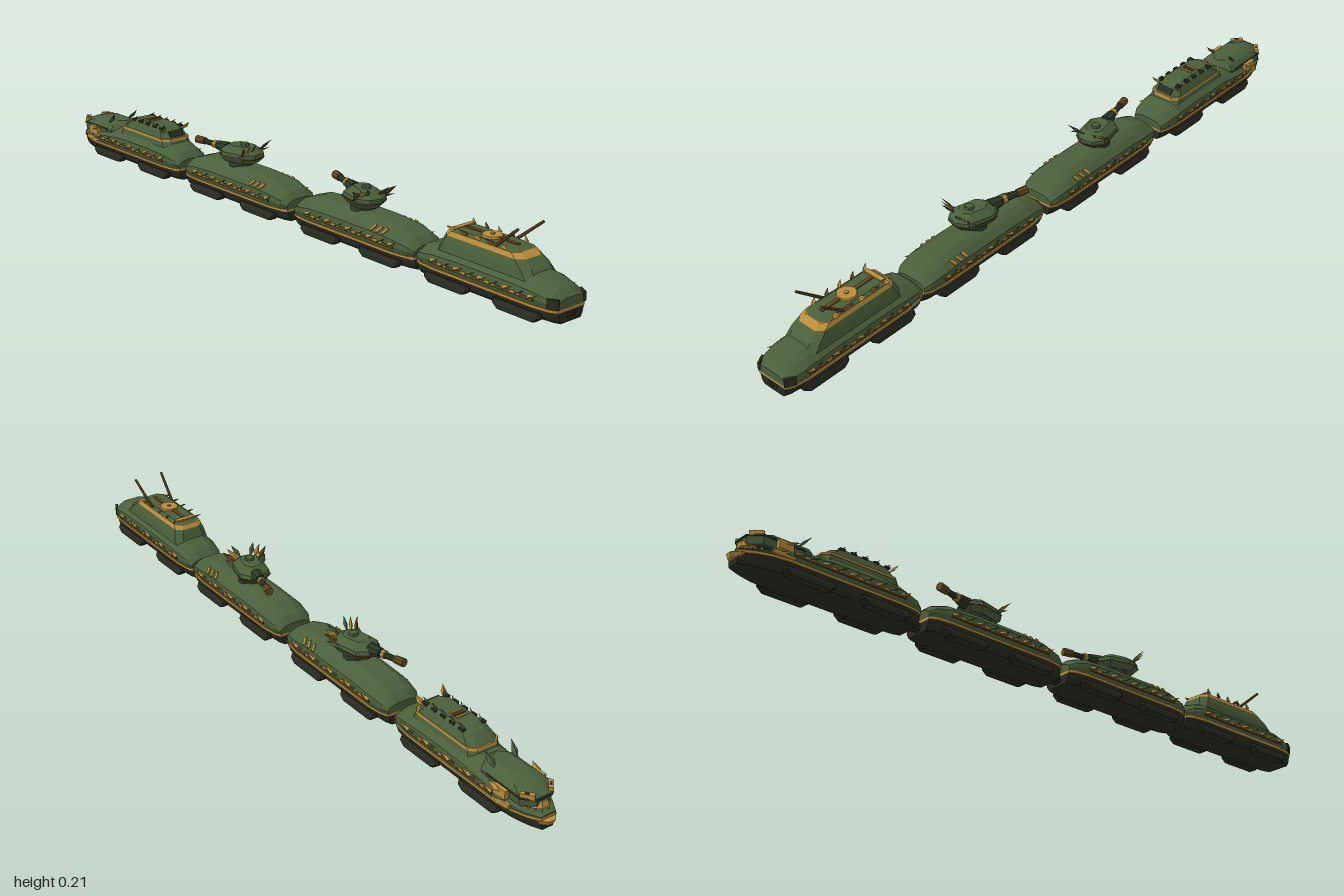
import * as THREE from 'three';

const paint = (name, color) => {
  const m = new THREE.MeshStandardMaterial({ color, flatShading: true });
  m.name = name;
  return m;
};

// skin between cross-sections; each ring runs counter-clockwise about the loft direction
function loft(rings) {
  const pos = [], n = rings[0].length, last = rings[rings.length - 1];
  const tri = (...p) => p.forEach(v => pos.push(...v));
  for (let i = 0; i < rings.length - 1; i++) {
    for (let j = 0; j < n; j++) {
      const k = (j + 1) % n, a = rings[i][j], b = rings[i][k], c = rings[i + 1][k], d = rings[i + 1][j];
      tri(a, b, c);
      tri(a, c, d);
    }
  }
  for (let j = 1; j < n - 1; j++) {
    tri(rings[0][0], rings[0][j + 1], rings[0][j]);
    tri(last[0], last[j], last[j + 1]);
  }
  const g = new THREE.BufferGeometry();
  g.setAttribute('position', new THREE.Float32BufferAttribute(pos, 3));
  g.computeVertexNormals();
  return g;
}

// chamfered rectangle in plan
const plan = (y, w, z0, z1, c = 0.018) => [
  [w - c, y, z1], [w, y, z1 - c], [w, y, z0 + c], [w - c, y, z0],
  [c - w, y, z0], [-w, y, z0 + c], [-w, y, z1 - c], [c - w, y, z1]];

// hull slice: half profile from bottom to top, stations are [z, width scale, top height]
function hullSlice(half, stations) {
  return loft(stations.map(([z, s, top]) => {
    const fit = y => y <= 0.041 ? Math.min(y, top) : 0.041 + (y - 0.041) * (top - 0.041) / 0.065;
    const right = half.map(([x, y]) => [x * s, fit(y), z]);
    return [...right, ...right.map(([x, y]) => [-x, y, z]).reverse()];
  }));
}

export function createModel() {
  const green = paint('armour green', 0x4a5f3b), dark = paint('dark green', 0x2c3826);
  const black = paint('undercarriage black', 0x282c21), gold = paint('trim gold', 0xb88c3c);
  const brown = paint('bronze brown', 0x66471f);
  const model = new THREE.Group();

  const add = (parent, name, geo, mat, x = 0, y = 0, z = 0) => {
    const m = new THREE.Mesh(geo, mat);
    m.name = name;
    m.position.set(x, y, z);
    parent.add(m);
    return m;
  };
  const box = (p, name, w, h, d, mat, x, y, z) => add(p, name, new THREE.BoxGeometry(w, h, d), mat, x, y, z);
  const group = (name, parent = model) => {
    const g = new THREE.Group();
    g.name = name;
    parent.add(g);
    return g;
  };
  // tapered bar between two points
  const bar = (p, name, a, b, r0, r1, mat, sides = 6) => {
    const A = new THREE.Vector3(...a), B = new THREE.Vector3(...b), d = B.clone().sub(A);
    const m = add(p, name, new THREE.CylinderGeometry(r1, r0, d.length(), sides), mat);
    m.position.copy(A).add(B).multiplyScalar(0.5);
    m.quaternion.setFromUnitVectors(new THREE.Vector3(0, 1, 0), d.normalize());
    return m;
  };
  const spike = (p, a, b, r, mat) => bar(p, 'spike', a, b, r, 0, mat, 4);
  // leaf blade: widens to the middle, then comes to a point
  const leaf = (p, a, b, r, mat) => {
    const m = a.map((v, i) => v + (b[i] - v) * 0.4);
    bar(p, 'leafBase', a, m, r * 0.3, r, mat, 4).scale.z = 0.4;
    bar(p, 'leafTip', m, b, r, 0, mat, 4).scale.z = 0.4;
  };
  const mirror = f => [-1, 1].forEach(f);

  const lower = [[0.046, 0.006], [0.055, 0.016], [0.06, 0.034]];
  const band = [[0.0635, 0.034], [0.0635, 0.041]];
  const upper = [[0.06, 0.041], [0.066, 0.06], [0.064, 0.077], [0.047, 0.095], [0.028, 0.106]];
  const ends = [[0.231, 0.75, 0.066], [0.212, 0.9, 0.084], [0.165, 1, 0.1], [0.09, 1, 0.106]];
  const rear = c => ends.map(([z, s, t]) => [c - z, s, t]);
  const front = c => ends.map(([z, s, t]) => [c + z, s, t]).reverse();

  // shared car body: hull, trim, thorns, track pods
  function car(name, c, stations) {
    const g = group(name);
    add(g, 'lowerHull', hullSlice(lower, stations), black);
    add(g, 'trimBand', hullSlice(band, stations), gold);
    add(g, 'upperHull', hullSlice(upper, stations), green);
    mirror(s => {
      for (const z of [-0.115, 0.115]) {
        add(g, 'trackPod', loft([plan(0, 0.013, -0.06, 0.06, 0.005), plan(0.012, 0.013, -0.075, 0.075, 0.005),
          plan(0.024, 0.009, -0.075, 0.075, 0.005)]), black, s * 0.053, 0, c + z);
      }
      box(g, 'sideRail', 0.006, 0.007, 0.34, brown, s * 0.0645, 0.056, c);
      for (let i = 0; i < 9; i++) {
        const z = c - 0.165 + i * 0.04;
        spike(g, [s * 0.064, 0.058, z], [s * 0.07, 0.071, z + 0.03], 0.006, i % 2 ? green : gold);
        if (i % 2) box(g, 'goldPlate', 0.004, 0.006, 0.03, gold, s * 0.066, 0.059, z);
      }
    });
    return g;
  }
  // slanted hazard stripes on the shoulder armour
  const stripes = (g, c) => mirror(s => {
    for (let i = 0; i < 3; i++) {
      const b = box(g, 'stripe', 0.021, 0.006, 0.008, gold, s * 0.056, 0.0855, c + 0.09 + i * 0.021);
      b.rotation.set(0, s * 0.5, -s * 0.8, 'ZYX');
    }
  });

  // front car with raised cabin
  const c1 = car('frontCar', 0.762, [...rear(0.762), ...front(0.762)]);
  box(c1, 'noseGrille', 0.026, 0.011, 0.004, dark, 0, 0.024, 0.993);
  mirror(s => {
    const lamp = box(c1, 'noseLamp', 0.007, 0.024, 0.03, black, s * 0.052, 0.056, 0.982);
    lamp.rotation.y = -s * 0.5;
  });
  add(c1, 'cabin', loft([plan(0.088, 0.054, 0.595, 0.915), plan(0.11, 0.051, 0.605, 0.895),
    plan(0.129, 0.045, 0.613, 0.871)]), green);
  add(c1, 'cabinBand', loft([plan(0.129, 0.0455, 0.613, 0.872), plan(0.141, 0.041, 0.622, 0.855)]), gold);
  add(c1, 'cabinRoof', loft([plan(0.141, 0.04, 0.625, 0.852), plan(0.147, 0.032, 0.64, 0.83)]), green);
  add(c1, 'roofDisc', new THREE.CylinderGeometry(0.026, 0.028, 0.006, 12), gold, 0, 0.149, 0.74);
  add(c1, 'discHub', new THREE.CylinderGeometry(0.006, 0.006, 0.004, 8), gold, 0, 0.153, 0.74);
  box(c1, 'roofRidge', 0.01, 0.005, 0.17, brown, 0, 0.1475, 0.74);
  box(c1, 'roofCrossbar', 0.06, 0.005, 0.014, gold, 0, 0.148, 0.645);
  mirror(s => {
    bar(c1, 'antenna', [s * 0.036, 0.143, 0.785], [s * 0.045, 0.205, 0.86], 0.0045, 0.0035, brown);
    for (let i = 0; i < 5; i++) {
      const z = 0.65 + i * 0.043;
      leaf(c1, [s * 0.034, 0.142, z], [s * 0.047, 0.155, z - 0.02], 0.007, i % 2 ? brown : gold);
    }
  });

  // turret pointing to -z
  function turret(parent, z, yaw) {
    const t = group('turret', parent);
    t.position.z = z;
    t.rotation.y = yaw;
    add(t, 'turretRing', new THREE.CylinderGeometry(0.034, 0.038, 0.016, 12), dark, 0, 0.108, 0);
    add(t, 'turretBody', loft([plan(0.114, 0.034, -0.05, 0.05), plan(0.13, 0.045, -0.065, 0.066, 0.026),
      plan(0.143, 0.043, -0.06, 0.066, 0.025), plan(0.16, 0.024, -0.035, 0.04, 0.014)]), green);
    add(t, 'turretTrim', loft([plan(0.13, 0.046, -0.066, 0.067, 0.026),
      plan(0.133, 0.046, -0.066, 0.067, 0.026)]), brown);
    add(t, 'hatch', new THREE.CylinderGeometry(0.012, 0.014, 0.008, 8), green, 0, 0.163, 0.012);
    bar(t, 'mantlet', [0, 0.14, -0.05], [0, 0.143, -0.085], 0.019, 0.014, dark, 8);
    bar(t, 'barrel', [0, 0.142, -0.08], [0, 0.146, -0.15], 0.009, 0.008, dark, 8);
    bar(t, 'barrelCollar', [0, 0.143, -0.09], [0, 0.144, -0.102], 0.012, 0.012, gold, 8);
    bar(t, 'muzzle', [0, 0.1455, -0.136], [0, 0.1465, -0.166], 0.011, 0.012, brown, 8);
    mirror(s => {
      for (let i = 0; i < 3; i++) {
        leaf(t, [s * (0.034 - i * 0.009), 0.142 + i * 0.005, 0.035 + i * 0.008],
          [s * (0.065 - i * 0.016), 0.171 + i * 0.003, 0.058 + i * 0.01], 0.008, [brown, gold, green][i]);
      }
      leaf(t, [s * 0.04, 0.135, 0.02], [s * 0.06, 0.148, 0.055], 0.008, green);
    });
  }
  for (const [name, c, tz, yaw] of [['secondCar', 0.292, 0.285, -0.26], ['thirdCar', -0.199, -0.225, 0.2]]) {
    const g = car(name, c, [...rear(c), ...front(c)]);
    stripes(g, c);
    turret(g, tz, yaw);
  }

  // rear car with cabin and beast head
  const c4 = car('headCar', -0.689, [[-0.985, 0.36, 0.046], [-0.95, 0.68, 0.05], [-0.91, 0.9, 0.06],
    [-0.87, 1, 0.078], [-0.8, 1, 0.092], [-0.74, 1, 0.104], ...front(-0.689)]);
  add(c4, 'rearCabin', loft([plan(0.09, 0.05, -0.765, -0.515), plan(0.112, 0.046, -0.755, -0.53),
    plan(0.135, 0.037, -0.725, -0.545), plan(0.144, 0.028, -0.7, -0.565, 0.012)]), green);
  add(c4, 'rearCabinBand', loft([plan(0.106, 0.049, -0.76, -0.522), plan(0.113, 0.048, -0.758, -0.525)]), gold);
  box(c4, 'rearWindow', 0.048, 0.02, 0.006, black, 0, 0.124, -0.538).rotation.x = -0.58;
  for (let i = 0; i < 3; i++) box(c4, 'roofVent', 0.036, 0.004, 0.006, i % 2 ? brown : gold, 0, 0.145, -0.66 + i * 0.012);
  mirror(s => {
    for (let i = 0; i < 5; i++) {
      const z = -0.7 + i * 0.035;
      box(c4, 'roofSlot', 0.012, 0.006, 0.016, black, s * 0.032, 0.139, z);
      spike(c4, [s * 0.028, 0.141, z], [s * 0.032, 0.153, z + 0.014], 0.004, i % 2 ? brown : green);
    }
    leaf(c4, [s * 0.034, 0.13, -0.55], [s * 0.044, 0.153, -0.53], 0.01, gold);
  });

  const head = group('head', c4);
  add(head, 'skull', loft([plan(0.062, 0.05, -0.965, -0.78, 0.028), plan(0.085, 0.053, -0.968, -0.77, 0.03),
    plan(0.1, 0.042, -0.935, -0.775, 0.028), plan(0.111, 0.024, -0.895, -0.79, 0.016)]), green);
  add(head, 'browBand', loft([plan(0.082, 0.054, -0.97, -0.79, 0.03), plan(0.087, 0.054, -0.97, -0.79, 0.03)]), dark);
  add(head, 'mouth', loft([plan(0.04, 0.035, -0.945, -0.85), plan(0.063, 0.042, -0.95, -0.85)]), black);
  add(head, 'snout', loft([plan(0.058, 0.03, -0.975, -0.9), plan(0.075, 0.026, -0.97, -0.9)]), gold);
  add(head, 'jawTip', loft([plan(0.022, 0.022, -0.996, -0.94, 0.015), plan(0.035, 0.03, -1, -0.93, 0.02)]), gold);
  mirror(s => {
    const eye = box(head, 'eyePlate', 0.013, 0.014, 0.036, gold, s * 0.036, 0.09, -0.948);
    eye.rotation.y = s * 0.7;
    box(head, 'pupil', 0.006, 0.004, 0.012, black, s * 0.037, 0.0965, -0.947).rotation.y = s * 0.7;
    box(head, 'cheekPlate', 0.013, 0.024, 0.042, gold, s * 0.058, 0.073, -0.88);
    box(head, 'jawPlate', 0.006, 0.012, 0.06, gold, s * 0.061, 0.048, -0.885);
    leaf(head, [s * 0.058, 0.076, -0.885], [s * 0.07, 0.09, -0.845], 0.012, gold);
    leaf(head, [s * 0.034, 0.1, -0.83], [s * 0.042, 0.136, -0.795], 0.01, green);
    for (let i = 0; i < 4; i++) {
      const x = s * (0.01 + i * 0.009), z = -0.975 + i * 0.013;
      spike(head, [x, 0.06, z + 0.006], [x, 0.043, z], 0.004, gold);
      spike(head, [x, 0.032, z], [x, 0.048, z - 0.003], 0.004, gold);
    }
  });

  // couplers
  for (const z of [0.527, 0.046, -0.444]) {
    bar(model, 'coupler', [0, 0.025, z - 0.03], [0, 0.025, z + 0.03], 0.014, 0.014, black, 8);
  }
  bar(model, 'towHook', [0, 0.025, 0.97], [0, 0.025, 1], 0.006, 0.006, black, 6);
  return model;
}
